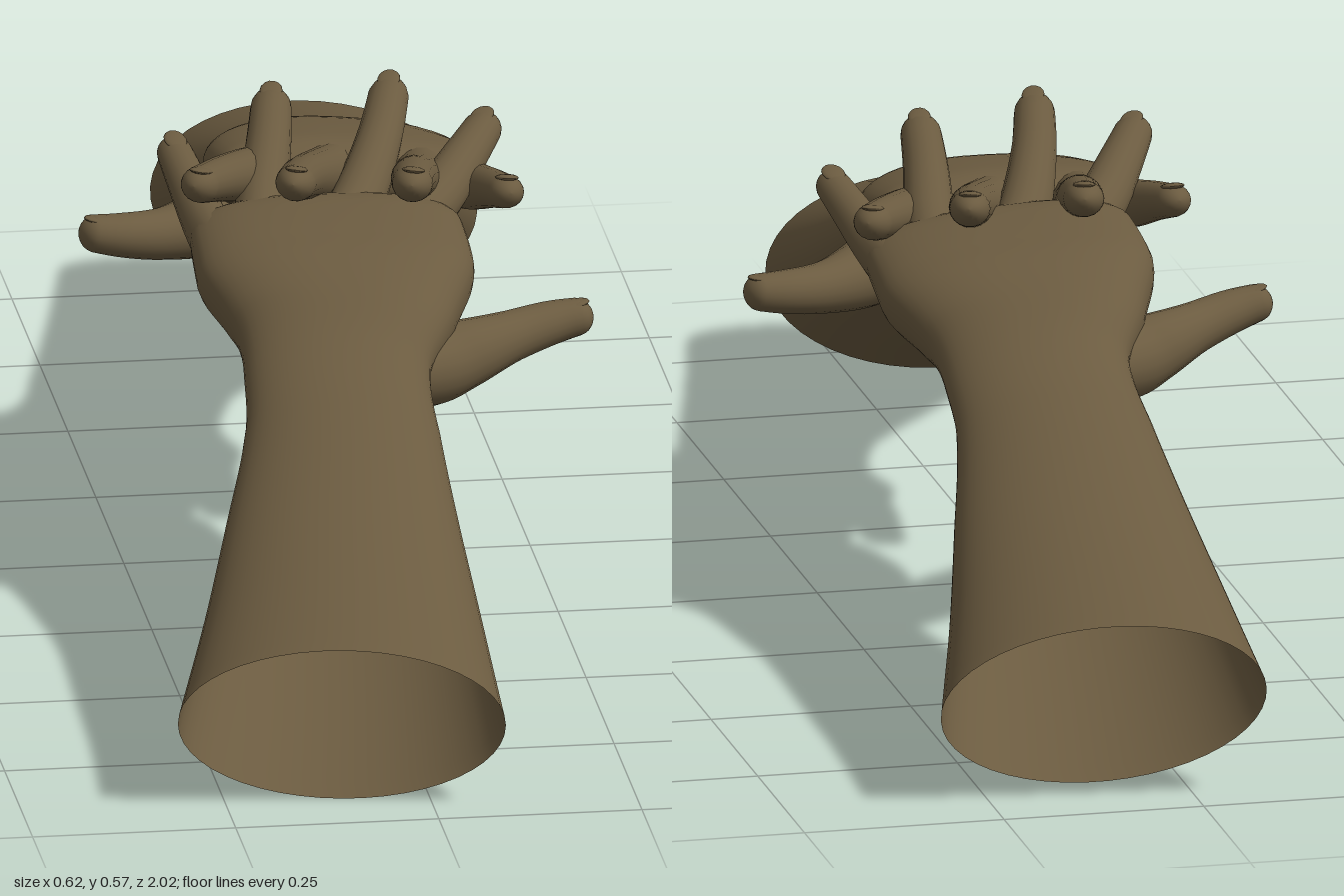
import * as THREE from 'three';

const skin = new THREE.MeshStandardMaterial({ color: 0x6b5b40, side: THREE.DoubleSide });
skin.name = 'brown skin';

const vec = (a) => new THREE.Vector3(...a);
const power = (v, e) => Math.sign(v) * Math.pow(Math.abs(v), e);

// Lofts oval rings along a path. Each station is [x, y, z, halfWidth, halfHeight, squareness];
// the last part of the path (cap) is rounded off to a closed tip.
function loft(name, stations, cap, steps, sides) {
  const path = new THREE.CatmullRomCurve3(stations.map((s) => vec(s.slice(0, 3))));
  const size = new THREE.CatmullRomCurve3(stations.map((s) => vec([s[3], s[4], s[5] ?? 1])));
  const capSteps = 7;
  const rows = [];
  for (let i = 0; i <= steps; i++) rows.push([(1 - cap) * i / steps, 1]);
  for (let i = 1; i <= capSteps; i++) {
    const a = (i / capSteps) * Math.PI / 2;
    rows.push([1 - cap + cap * Math.sin(a), Math.max(Math.cos(a), 0.001)]);
  }
  const pos = [], index = [];
  const up = new THREE.Vector3(0, 1, 0);
  rows.forEach(([t, k], i) => {
    const c = path.getPoint(t), s = size.getPoint(t), T = path.getTangent(t);
    const R = new THREE.Vector3().crossVectors(T, up).normalize();
    const U = new THREE.Vector3().crossVectors(R, T);
    for (let j = 0; j < sides; j++) {
      const a = (j / sides) * Math.PI * 2;
      const p = c.clone()
        .addScaledVector(R, power(Math.cos(a), s.z) * s.x * k)
        .addScaledVector(U, power(Math.sin(a), s.z) * s.y * k);
      pos.push(p.x, p.y, p.z);
      if (i === 0) continue;
      const j2 = (j + 1) % sides, b = (i - 1) * sides, d = i * sides;
      index.push(b + j, d + j, b + j2, d + j, d + j2, b + j2);
    }
  });
  const g = new THREE.BufferGeometry();
  g.setAttribute('position', new THREE.Float32BufferAttribute(pos, 3));
  g.setIndex(index);
  g.computeVertexNormals();
  const mesh = new THREE.Mesh(g, skin);
  mesh.name = name;
  return mesh;
}

// A slim oval nail lying on the upper side of a fingertip
function nail(name, stations) {
  const n = stations.length;
  const tip = vec(stations[n - 1].slice(0, 3));
  const T = tip.clone().sub(vec(stations[n - 2].slice(0, 3))).normalize();
  const R = new THREE.Vector3().crossVectors(T, new THREE.Vector3(0, 1, 0)).normalize();
  const U = new THREE.Vector3().crossVectors(R, T);
  const mesh = new THREE.Mesh(new THREE.SphereGeometry(1, 14, 8), skin);
  mesh.name = name;
  mesh.scale.set(0.014, 0.004, 0.02);
  mesh.quaternion.setFromRotationMatrix(new THREE.Matrix4().makeBasis(R, U, T.clone().negate()));
  mesh.position.copy(tip).addScaledVector(T, -0.022).addScaledVector(U, 0.018);
  return mesh;
}

function createArm(name) {
  const arm = new THREE.Group();
  arm.name = name;

  // Open forearm flowing through the wrist into the palm
  arm.add(loft('forearmAndPalm', [
    [-0.113, 0.112, 0.954, 0.2, 0.12, 1],
    [-0.09, 0.176, 0.8, 0.172, 0.1, 1],
    [-0.07, 0.243, 0.65, 0.146, 0.079, 1],
    [-0.047, 0.315, 0.48, 0.12, 0.06, 1],
    [-0.037, 0.362, 0.36, 0.114, 0.055, 0.95],
    [-0.02, 0.392, 0.27, 0.14, 0.064, 0.85],
    [-0.014, 0.422, 0.18, 0.17, 0.062, 0.8],
    [-0.014, 0.446, 0.1, 0.168, 0.05, 0.8],
    [-0.012, 0.462, 0.03, 0.155, 0.034, 0.8],
  ], 0.1, 48, 48));

  // Four fingers, lifting toward their tips
  const fingers = {
    index: [[0.075, 0.448, 0.11, 0.034, 0.034], [0.125, 0.463, 0.04, 0.033, 0.033],
      [0.175, 0.487, -0.05, 0.028, 0.027], [0.218, 0.507, -0.135, 0.023, 0.021]],
    middle: [[0.0, 0.452, 0.11, 0.034, 0.034], [0.035, 0.47, 0.03, 0.033, 0.033],
      [0.076, 0.505, -0.085, 0.028, 0.027], [0.107, 0.537, -0.203, 0.024, 0.021]],
    ring: [[-0.1, 0.452, 0.11, 0.033, 0.034], [-0.085, 0.469, 0.03, 0.032, 0.032],
      [-0.062, 0.505, -0.075, 0.028, 0.027], [-0.042, 0.535, -0.187, 0.024, 0.021]],
    little: [[-0.148, 0.44, 0.12, 0.031, 0.036], [-0.157, 0.455, 0.05, 0.029, 0.03],
      [-0.168, 0.48, -0.03, 0.025, 0.024], [-0.178, 0.503, -0.112, 0.021, 0.019]],
  };
  for (const [key, stations] of Object.entries(fingers)) {
    arm.add(loft(key + 'Finger', stations, 0.1, 18, 18), nail(key + 'Nail', stations));
  }

  // Thumb spread outward from the heel of the hand
  const thumb = [[0.0, 0.355, 0.36, 0.045, 0.045], [0.075, 0.342, 0.3, 0.055, 0.05],
    [0.135, 0.333, 0.235, 0.043, 0.043], [0.2, 0.334, 0.18, 0.032, 0.032],
    [0.255, 0.34, 0.153, 0.028, 0.027], [0.307, 0.346, 0.142, 0.022, 0.021]];
  arm.add(loft('thumb', thumb, 0.07, 26, 20), nail('thumbNail', thumb));
  return arm;
}

export function createModel() {
  const model = new THREE.Group();
  model.name = 'interlacedHands';
  model.add(createArm('frontArm'));

  // The second arm faces the first, rolled slightly about hand height
  const back = createArm('backArm');
  back.rotation.y = Math.PI;
  back.position.y = -0.45;
  const pivot = new THREE.Group();
  pivot.name = 'backArmTilt';
  pivot.add(back);
  pivot.position.set(0.03, 0.458, 0);
  pivot.rotation.set(0.015, 0, -0.08);
  model.add(pivot);
  return model;
}
